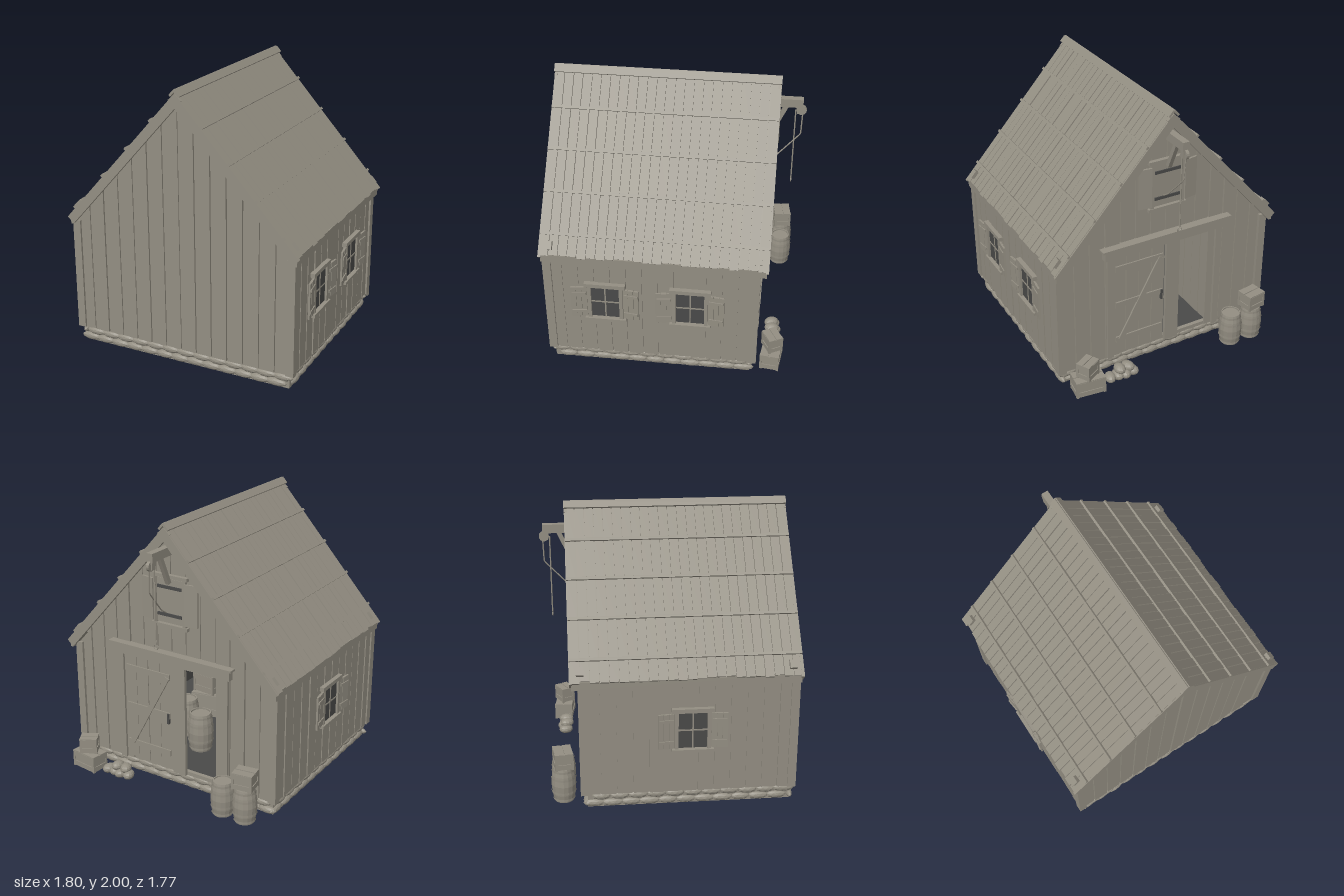
import * as THREE from 'three';

const wood = new THREE.MeshStandardMaterial({ color: 0x938e82, flatShading: true });
wood.name = 'weathered wood';
const dark = new THREE.MeshStandardMaterial({ color: 0x4a4a49 });
dark.name = 'dark interior';

let seed = 7;
const rand = () => (seed = (seed * 16807) % 2147483647) / 2147483647;

function mesh(parent, name, geo, x = 0, y = 0, z = 0, mat = wood) {
  const m = new THREE.Mesh(geo, mat);
  m.name = name;
  m.position.set(x, y, z);
  parent.add(m);
  return m;
}
const box = (p, name, w, h, d, x, y, z, mat) => mesh(p, name, new THREE.BoxGeometry(w, h, d), x, y, z, mat);
function group(parent, name, x = 0, y = 0, z = 0, ry = 0) {
  const g = new THREE.Group();
  g.name = name;
  g.position.set(x, y, z);
  g.rotation.y = ry;
  parent.add(g);
  return g;
}

// Gable outline: height of the wall under the roof at a given x
const gableTop = x => 1.9 - 1.107 * Math.abs(x);
function gableShape(x0, x1, y0) {
  const pts = [[x0, y0], [x1, y0], [x1, gableTop(x1)]];
  if (x0 < 0 && x1 > 0) pts.push([0, gableTop(0)]);
  pts.push([x0, gableTop(x0)]);
  return new THREE.Shape(pts.map(p => new THREE.Vector2(...p)));
}
const extrude = (shape, depth) => new THREE.ExtrudeGeometry(shape, { depth, bevelEnabled: false });

// Gable wall with vertical boards, facing local +z; optional door hole
function gable(parent, name, z, ry, hasDoor) {
  const g = group(parent, name, 0, 0, z, ry);
  const back = gableShape(-0.84, 0.84, 0.1);
  if (hasDoor) back.holes.push(new THREE.Path([[-0.42, 0.13], [-0.42, 0.96], [0.42, 0.96], [0.42, 0.13]].map(p => new THREE.Vector2(...p))));
  mesh(g, name + 'Core', extrude(back, 0.03), 0, 0, -0.03);
  const n = 14, w = 1.68 / n;
  for (let i = 0; i < n; i++) {
    const x0 = -0.84 + i * w, mid = x0 + w / 2;
    const y0 = hasDoor && Math.abs(mid) < 0.42 ? 0.96 : 0.11;
    mesh(g, 'wallBoard', extrude(gableShape(x0 + 0.005, x0 + w - 0.005, y0), 0.008 + rand() * 0.008));
  }
  return g;
}

function sideWall(parent, s) {
  const g = group(parent, s > 0 ? 'leftWall' : 'rightWall', s * 0.84, 0, 0.11, s * Math.PI / 2);
  box(g, 'wallCore', 1.44, 0.87, 0.03, 0, 0.545, -0.015);
  const n = 13, w = 1.46 / n;
  for (let i = 0; i < n; i++) {
    const t = 0.006 + rand() * 0.007;
    box(g, 'wallBoard', w - 0.01, 0.87, t, -0.73 + (i + 0.5) * w, 0.545, t / 2);
  }
}

// Window with frame, muntins and a pair of open shutters
function windowUnit(parent, s, z) {
  const g = group(parent, 'window', s * 0.848, 0.59, z, s * Math.PI / 2);
  box(g, 'glass', 0.2, 0.27, 0.008, 0, 0, 0.01, dark);
  for (const k of [-1, 1]) {
    box(g, 'windowJamb', 0.025, 0.29, 0.03, k * 0.112, 0, 0.015);
    const sh = group(g, 'shutter', k * 0.13, 0, 0.012, -k * 0.12);
    for (let i = 0; i < 3; i++) box(sh, 'shutterBoard', 0.036, 0.26, 0.014 + 0.003 * (i % 2), k * (0.018 + i * 0.038), 0, 0.01);
    for (const y of [-0.08, 0.08]) box(sh, 'shutterBatten', 0.1, 0.02, 0.01, k * 0.056, y, 0.02);
  }
  box(g, 'verticalMuntin', 0.01, 0.27, 0.012, 0, 0, 0.012);
  box(g, 'crossMuntin', 0.2, 0.01, 0.012, 0, 0, 0.012);
  box(g, 'windowSill', 0.29, 0.022, 0.045, 0, -0.15, 0.02);
  box(g, 'windowHead', 0.29, 0.03, 0.035, 0, 0.15, 0.018);
}

// Roof slope: local x runs down the slope, local y points outward
const PITCH = Math.atan2(0.99, 0.89);
function roofSide(parent, s) {
  const turn = group(parent, 'roofSide', 0, 1.965, 0.09, s > 0 ? 0 : Math.PI);
  const g = group(turn, 'roofSlope');
  g.rotation.z = -PITCH;
  box(g, 'roofDeck', 1.31, 0.018, 1.56, 0.655, -0.021, 0);
  const stops = [0, 0.28, 0.575, 0.87, 1.165, 1.32], n = 24, w = 1.57 / n;
  for (let c = 0; c < 5; c++) {
    const len = stops[c + 1] - stops[c];
    for (let i = 0; i < n; i++) {
      const t = 0.014 + rand() * 0.006, l = len + (c === 4 ? rand() * 0.02 - 0.01 : 0);
      box(g, 'roofPlank', l, t, w - 0.006, stops[c] + l / 2, -0.014 + t / 2, -0.785 + (i + 0.5) * w);
    }
    if (c) box(g, 'roofBatten', 0.02, 0.02, 1.58, stops[c], 0.008, 0);
  }
  for (const k of [-1, 1]) {
    box(g, 'bargeBoard', 1.335, 0.066, 0.022, 0.667, -0.032, k * 0.782);
    box(g, 'eaveBlock', 0.06, 0.03, 0.05, 1.25, 0.015, k * 0.72);
  }
  const tails = 18;
  for (let i = 0; i < tails; i++) box(g, 'rafterTail', 0.12, 0.035, 0.03, 1.24, -0.042, -0.74 + i * 1.48 / (tails - 1));
  box(turn, 'eaveFascia', 0.02, 0.06, 1.56, 0.865, -1.015, 0);
}

function barrel(parent, x, y, z, r = 0.088, h = 0.26) {
  const g = group(parent, 'barrel', x, y, z);
  const pts = [[0, 0], [0.8, 0], [0.93, 0.22], [1, 0.5], [0.93, 0.78], [0.8, 1], [0.72, 1], [0.72, 0.96], [0, 0.96]];
  mesh(g, 'barrelStaves', new THREE.LatheGeometry(pts.map(p => new THREE.Vector2(p[0] * r, p[1] * h)), 16));
  for (const [f, k] of [[0.08, 0.86], [0.3, 0.97], [0.7, 0.97], [0.92, 0.86]])
    mesh(g, 'barrelHoop', new THREE.CylinderGeometry(r * k + 0.003, r * k + 0.003, 0.016, 16, 1, true), 0, f * h, 0);
}

function crate(parent, w, h, d, x, y, z, ry) {
  const g = group(parent, 'crate', x, y, z, ry);
  box(g, 'crateCore', w - 0.012, h - 0.012, d - 0.012, 0, h / 2, 0);
  for (const a of [-1, 1]) {
    for (const b of [-1, 1]) box(g, 'cratePost', 0.018, h, 0.018, a * (w / 2 - 0.009), h / 2, b * (d / 2 - 0.009));
    for (const f of [0.2, 0.8]) {
      box(g, 'crateSlat', w - 0.03, h * 0.3, 0.01, 0, h * f, a * (d / 2 - 0.005));
      box(g, 'crateSlat', 0.01, h * 0.3, d - 0.03, a * (w / 2 - 0.005), h * f, 0);
    }
    box(g, 'crateLid', w, 0.008, d * 0.45, 0, h - 0.004, a * d * 0.26);
  }
}

// Plank door leaf with ledges, diagonal brace and handle; hinged at local x = 0
function doorLeaf(parent, name, x, z, ry) {
  const g = group(parent, name, x, 0.13, z, ry);
  for (let i = 0; i < 4; i++) box(g, 'doorPlank', 0.1, 0.82, 0.018 + 0.003 * (i % 2), -0.053 - i * 0.104, 0.41, 0);
  for (const y of [0.12, 0.42, 0.72]) box(g, 'doorLedge', 0.38, 0.045, 0.012, -0.21, y, -0.014);
  const brace = box(g, 'doorBrace', 0.04, 0.68, 0.012, -0.22, 0.42, -0.022);
  brace.rotation.z = 0.5;
  box(g, 'doorHandle', 0.015, 0.08, 0.02, -0.39, 0.4, -0.02, dark);
}

function tube(parent, name, pts, r) {
  const path = new THREE.CurvePath();
  const v = pts.map(p => new THREE.Vector3(...p));
  for (let i = 1; i < v.length; i++) path.add(new THREE.LineCurve3(v[i - 1], v[i]));
  mesh(parent, name, new THREE.TubeGeometry(path, 24, r, 6));
}

export function createModel() {
  const root = new THREE.Group();
  root.name = 'barn';

  // Stone footing
  const base = group(root, 'foundation');
  box(base, 'footing', 1.64, 0.115, 1.43, 0, 0.0575, 0.115);
  const stone = new THREE.IcosahedronGeometry(1, 1);
  const addStone = (x, y, z, alongX) => {
    const l = 0.07 + rand() * 0.012, d = 0.024 + rand() * 0.006;
    mesh(base, 'stone', stone, x, y, z).scale.set(alongX ? l : d, 0.029, alongX ? d : l);
  };
  for (let row = 0; row < 2; row++) for (const s of [-1, 1]) {
    const y = 0.03 + row * 0.052, shift = row * 0.05 - 0.025;
    for (let i = 0; i < 13; i++) addStone(-0.75 + i * 0.125 + shift, y, 0.115 + s * 0.715, true);
    for (let i = 0; i < 11; i++) addStone(s * 0.815, y, -0.53 + i * 0.129 + shift, false);
  }

  // Walls, corner posts and dark lining
  gable(root, 'frontGable', 0.84, 0, false);
  gable(root, 'backGable', -0.615, Math.PI, true);
  for (const s of [-1, 1]) {
    sideWall(root, s);
    for (const z of [0.835, -0.618]) box(root, 'cornerBoard', 0.06, 0.84, 0.06, s * 0.832, 0.53, z);
    box(root, 'sideLining', 0.008, 0.85, 1.39, s * 0.8, 0.54, 0.115, dark);
    roofSide(root, s);
  }
  box(root, 'floorLining', 1.6, 0.008, 1.39, 0, 0.12, 0.115, dark);
  mesh(root, 'frontLining', extrude(gableShape(-0.8, 0.8, 0.12), 0.008), 0, -0.03, 0.795, dark);

  // Ridge cap
  for (const s of [-1, 1]) box(root, 'ridgeCap', 0.055, 0.016, 1.59, s * 0.018, 1.97, 0.09).rotation.z = -s * PITCH;

  windowUnit(root, 1, 0.43);
  windowUnit(root, 1, -0.17);
  windowUnit(root, -1, 0.13);

  // Double door, one leaf closed and one swung inward
  const door = group(root, 'barnDoor');
  doorLeaf(door, 'closedDoorLeaf', 0.42, -0.622, 0);
  doorLeaf(door, 'openDoorLeaf', -0.4, -0.6, Math.PI / 2);
  for (const x of [-0.445, 0.445]) box(door, 'doorJamb', 0.05, 0.85, 0.025, x, 0.535, -0.635);
  box(door, 'doorPost', 0.11, 0.85, 0.025, -0.06, 0.535, -0.635);
  box(door, 'doorHeader', 1.0, 0.07, 0.06, 0, 1.0, -0.645);
  box(door, 'headerCap', 1.04, 0.015, 0.075, 0, 1.042, -0.65);

  // Loft hatch with an open shutter
  const loft = group(root, 'loftHatch', 0, 1.43, -0.632);
  box(loft, 'hatchPanel', 0.22, 0.32, 0.014, 0, 0, -0.002);
  for (const s of [-1, 1]) {
    box(loft, 'hatchJamb', 0.025, 0.36, 0.025, s * 0.122, 0, -0.006);
    box(loft, 'hatchRail', 0.3, 0.025, 0.03, 0, s * 0.18, -0.008);
    box(loft, 'hatchStrap', 0.2, 0.022, 0.01, 0, s * 0.1, -0.012, dark);
    box(loft, 'hatchShutter', 0.1, 0.3, 0.016, s * 0.18, 0, -0.014).rotation.y = -s * 0.15;
  }

  // Hoist beam, brace, pulley, rope and hook
  const hoist = group(root, 'hoist');
  box(hoist, 'hoistBeam', 0.05, 0.062, 0.3, 0, 1.798, -0.71);
  box(hoist, 'hoistBrace', 0.03, 0.25, 0.03, 0, 1.68, -0.705).rotation.x = -0.42;
  box(hoist, 'pulleyBlock', 0.04, 0.06, 0.04, 0, 1.745, -0.84);
  mesh(hoist, 'pulleyWheel', new THREE.CylinderGeometry(0.036, 0.036, 0.022, 14), 0, 1.74, -0.85).rotation.z = Math.PI / 2;
  tube(hoist, 'liftRope', [[0, 1.74, -0.81], [0, 1.17, -0.81]], 0.005);
  tube(hoist, 'tieRope', [[0, 1.74, -0.86], [0.01, 1.55, -0.855], [0.03, 1.38, -0.7], [0.03, 1.34, -0.64]], 0.005);
  mesh(hoist, 'hook', new THREE.TorusGeometry(0.016, 0.005, 6, 12, 4.6), 0, 1.155, -0.81).rotation.z = 2.6;

  // Goods outside and inside
  barrel(root, -0.69, 0, -0.765);
  barrel(root, -0.51, 0, -0.765);
  crate(root, 0.15, 0.125, 0.13, -0.69, 0.26, -0.765, 0.15);
  crate(root, 0.22, 0.13, 0.14, 0.69, 0, -0.755, -0.12);
  crate(root, 0.13, 0.12, 0.11, 0.69, 0.13, -0.755, 0.5);
  const sackGeo = new THREE.SphereGeometry(1, 12, 8);
  for (const [x, y, z, r] of [[0.33, 0.035, -0.75, 0.3], [0.39, 0.035, -0.76, -0.3], [0.45, 0.035, -0.75, 0.2], [0.51, 0.035, -0.75, -0.2], [0.36, 0.075, -0.74, 0.4], [0.43, 0.08, -0.745, 0]]) {
    const sack = mesh(root, 'sack', sackGeo, x, y, z);
    sack.scale.set(0.042, 0.035, 0.055);
    sack.rotation.y = r;
  }
  barrel(root, 0.02, 0.124, -0.25, 0.1, 0.3);
  barrel(root, 0.25, 0.124, -0.1, 0.1, 0.3);
  crate(root, 0.24, 0.2, 0.2, 0.3, 0.124, 0.3, 0.2);
  crate(root, 0.2, 0.16, 0.18, 0.3, 0.324, 0.3, -0.1);
  return root;
}
